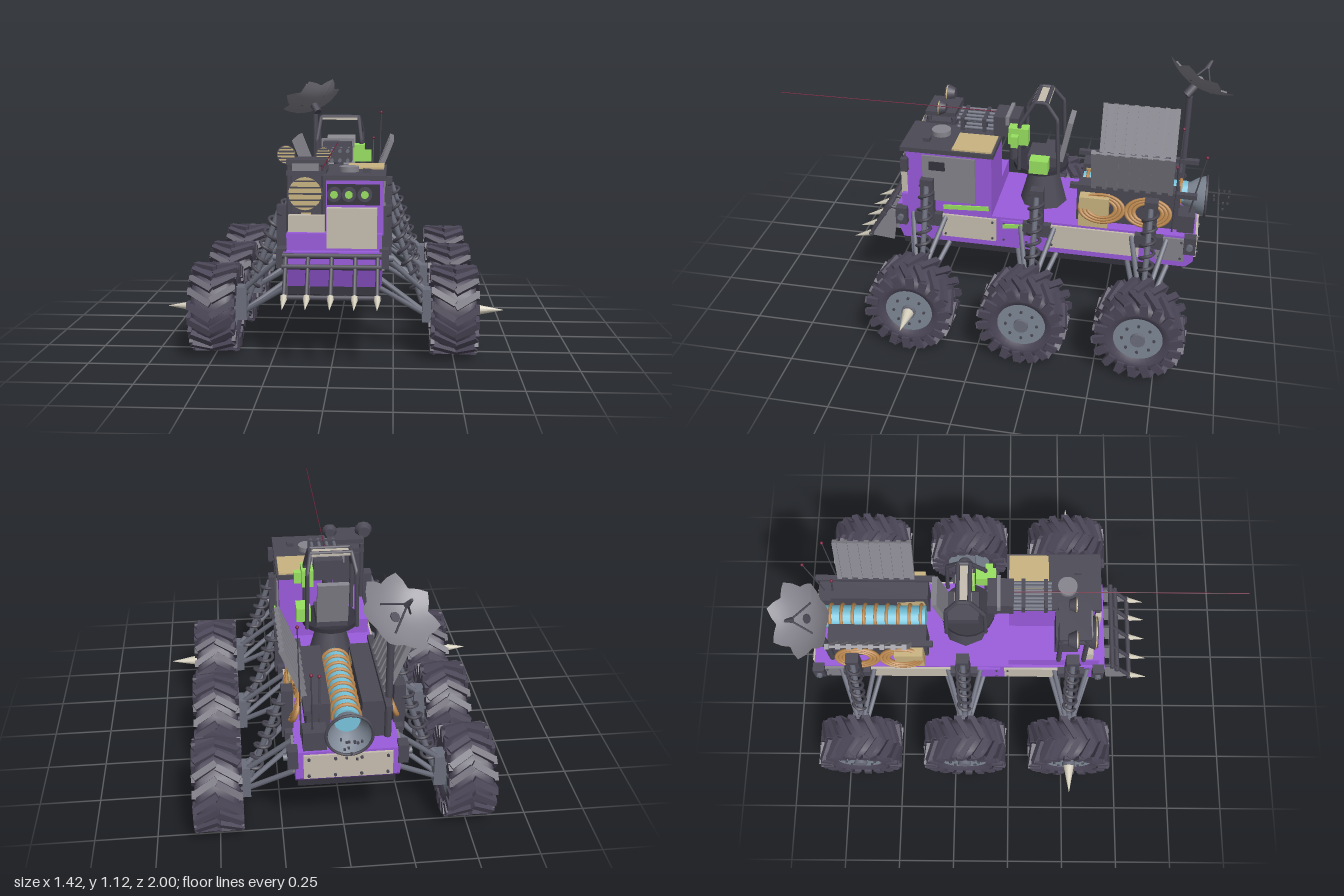
import * as THREE from 'three';
import { mergeGeometries } from 'three/addons/utils/BufferGeometryUtils.js';

const C = { purple: 0x9a5bdc, dark: 0x4b4955, black: 0x35333d, steel: 0x6b6e7c, grey: 0x85838c, beige: 0xc6bdb0,
  tan: 0xc9b380, green: 0x98e060, blue: 0x78c4dc, rope: 0xbe8a50, tyre: 0x4c4758, rim: 0x7f8996, bone: 0xd5cfbd, red: 0x7a2540 };
const mats = {};
const mat = (c, flat) => (mats[c + '_' + flat] ??= new THREE.MeshStandardMaterial({ color: c, flatShading: !!flat, side: THREE.DoubleSide }));
const V = (a) => new THREE.Vector3(...a);

function add(parent, name, geo, color, p = [0, 0, 0], r = [0, 0, 0], flat = false) {
  const m = new THREE.Mesh(geo, mat(color, flat));
  m.name = name;
  m.position.set(...p);
  m.rotation.set(...r);
  parent.add(m);
  return m;
}
// box given by its min/max ranges
const box = (g, name, c, [x0, x1], [y0, y1], [z0, z1], r) =>
  add(g, name, new THREE.BoxGeometry(x1 - x0, y1 - y0, z1 - z0), c, [(x0 + x1) / 2, (y0 + y1) / 2, (z0 + z1) / 2], r);
// straight rod (or cone) between two points
function rod(g, name, c, a, b, r, r2 = r, seg = 8) {
  const A = V(a), d = V(b).sub(A);
  const m = add(g, name, new THREE.CylinderGeometry(r2, r, d.length(), seg), c);
  m.position.copy(A).addScaledVector(d, 0.5);
  m.quaternion.setFromUnitVectors(new THREE.Vector3(0, 1, 0), d.normalize());
  return m;
}
// bent pipe through points
function pipe(g, name, c, pts, r) {
  const path = new THREE.CurvePath();
  for (let i = 1; i < pts.length; i++) path.add(new THREE.LineCurve3(V(pts[i - 1]), V(pts[i])));
  return add(g, name, new THREE.TubeGeometry(path, pts.length * 8, r, 7), c);
}
// side silhouette [z, y] extruded across x
function sideShape(g, name, c, pts, x0, x1) {
  const geo = new THREE.ExtrudeGeometry(new THREE.Shape(pts.map(([z, y]) => new THREE.Vector2(-z, y))), { depth: x1 - x0, bevelEnabled: false });
  return add(g, name, geo.rotateY(Math.PI / 2), c, [x0, 0, 0]);
}

function makeWheel(spiked) {
  const w = new THREE.Group();
  w.name = 'wheel';
  const prof = [[0.1, -0.075], [0.125, -0.09], [0.155, -0.085], [0.17, -0.06], [0.172, 0], [0.17, 0.06], [0.155, 0.085], [0.125, 0.09], [0.1, 0.075]];
  add(w, 'tyre', new THREE.LatheGeometry(prof.map((p) => new THREE.Vector2(...p)), 32), C.tyre, [0, 0, 0], [0, 0, -Math.PI / 2]);
  // chevron tread with shoulder blocks
  const lugs = [];
  for (let i = 0; i < 18; i++) for (const s of [-1, 1]) {
    const a = ((i + (s > 0 ? 0.25 : 0)) / 18) * Math.PI * 2;
    lugs.push(new THREE.BoxGeometry(0.105, 0.026, 0.026).rotateY(s * 0.55).translate(s * 0.045, 0.174, 0).rotateX(a));
    lugs.push(new THREE.BoxGeometry(0.016, 0.05, 0.032).translate(s * 0.09, 0.153, -0.028).rotateX(a));
  }
  add(w, 'tread', mergeGeometries(lugs), C.tyre);
  const hub = (r, len, c, name) => add(w, name, new THREE.CylinderGeometry(r, r, len, 24), c, [0, 0, 0], [0, 0, Math.PI / 2]);
  hub(0.105, 0.15, C.rim, 'rim');
  hub(0.03, 0.18, C.steel, 'hubCap');
  for (let i = 0; i < 8; i++) {
    const a = i * Math.PI / 4;
    rod(w, 'bolt', C.dark, [0.07, 0.065 * Math.cos(a), 0.065 * Math.sin(a)], [0.082, 0.065 * Math.cos(a), 0.065 * Math.sin(a)], 0.006);
  }
  if (spiked) rod(w, 'hubSpike', C.bone, [0.08, 0, 0], [0.21, 0, 0], 0.026, 0.001, 10);
  return w;
}

// one wheel with its arms, tower and coil, on the +x side
function makeCorner(z, spiked) {
  const g = new THREE.Group();
  g.name = 'wheelStation';
  g.position.z = z;
  const w = makeWheel(spiked);
  w.position.set(0.5, 0.189, 0);
  g.add(w);
  box(g, 'hubBracket', C.steel, [0.37, 0.42], [0.14, 0.28], [-0.035, 0.035]);
  for (const s of [-1, 1]) {
    rod(g, 'upperArm', C.steel, [0.2, 0.44, s * 0.075], [0.385, 0.265, s * 0.015], 0.011);
    rod(g, 'lowerArm', C.steel, [0.19, 0.3, s * 0.085], [0.385, 0.17, s * 0.015], 0.011);
  }
  box(g, 'springTower', C.dark, [0.195, 0.24], [0.42, 0.63], [-0.028, 0.028]);
  box(g, 'towerFoot', C.dark, [0.195, 0.23], [0.4, 0.46], [-0.06, 0.06]);
  const a = V([0.235, 0.6, 0]), d = V([0.36, 0.25, 0]).sub(a), u = V([0, 0, 1]), v = d.clone().normalize().cross(u);
  const pts = [];
  for (let i = 0; i <= 84; i++) {
    const t = i / 84, q = t * 7 * Math.PI * 2;
    pts.push(a.clone().addScaledVector(d, t).addScaledVector(u, 0.028 * Math.cos(q)).addScaledVector(v, 0.028 * Math.sin(q)));
  }
  add(g, 'coilSpring', new THREE.TubeGeometry(new THREE.CatmullRomCurve3(pts), 150, 0.0075, 5), C.dark);
  rod(g, 'damper', C.steel, a.toArray(), [0.37, 0.22, 0], 0.012);
  return g;
}

function makeLamp(g, x, y, z, r) {
  rod(g, 'lampShell', C.dark, [x, y, z - r * 0.9], [x, y, z], r * 0.7, r * 1.1, 20);
  rod(g, 'lampGlass', C.tan, [x, y, z - 0.002], [x, y, z + 0.006], r, r, 20);
  for (let i = -2; i <= 2; i++) {
    const h = r * Math.sqrt(1 - (i * 0.38) ** 2);
    box(g, 'lampGrille', C.dark, [x - h, x + h], [y + i * r * 0.38 - 0.003, y + i * r * 0.38 + 0.003], [z + 0.005, z + 0.012]);
  }
}

function makeHull(g) {
  sideShape(g, 'hull', C.purple, [[0.4, 0.31], [0.43, 0.39], [0.43, 0.46], [-0.87, 0.46], [-0.87, 0.34], [-0.84, 0.31]], -0.2, 0.2);
  box(g, 'underPlate', C.black, [-0.19, 0.19], [0.275, 0.315], [-0.83, 0.4]);
  box(g, 'hood', C.purple, [-0.19, 0.2], [0.45, 0.53], [0, 0.4]);
  for (const s of [-1, 1]) {
    for (const [z0, z1, c] of [[-0.02, 0.22, C.beige], [-0.17, -0.04, C.purple], [-0.64, -0.25, C.beige], [-0.83, -0.71, C.grey]]) {
      const p = box(g, 'sidePlate', c, [-0.006, 0.006], [0.34, 0.45], [z0, z1]);
      p.position.x = s * 0.204;
      for (const z of [z0 + 0.015, z1 - 0.015]) for (const y of [0.355, 0.435]) rod(g, 'rivet', C.dark, [s * 0.205, y, z], [s * 0.215, y, z], 0.005);
    }
    for (const z of [0.4, -0.85]) {
      const e = new THREE.Group();
      e.position.x = s * 0.21;
      g.add(e);
      box(e, 'cornerFitting', C.dark, [-0.02, 0.02], [0.39, 0.47], [z - 0.025, z + 0.025]);
      rod(e, 'cornerPeg', C.steel, [0, 0.43, z], [s * 0.035, 0.43, z], 0.014);
    }
  }
  box(g, 'rearPlate', C.beige, [-0.17, 0.17], [0.345, 0.45], [-0.88, -0.868]);
  for (const x of [-0.15, -0.05, 0.05, 0.15]) for (const y of [0.36, 0.435]) rod(g, 'rivet', C.dark, [x, y, -0.875], [x, y, -0.887], 0.006);
  // paint slashes
  add(g, 'paintSlash', new THREE.BoxGeometry(0.006, 0.02, 0.2), C.green, [0.217, 0.5, 0.11], [0.06, 0, 0]);
  add(g, 'paintSlash', new THREE.BoxGeometry(0.006, 0.018, 0.12), C.green, [0.213, 0.43, -0.11], [0.1, 0, 0]);
}

function makeRam(g) {
  for (const x of [-0.185, -0.095, 0, 0.095, 0.185]) {
    sideShape(g, 'ramFin', C.grey, [[0.43, 0.42], [0.47, 0.45], [0.555, 0.29], [0.45, 0.28]], x - 0.004, x + 0.004);
    rod(g, 'ramBar', C.dark, [x, 0.45, 0.465], [x, 0.295, 0.56], 0.009);
    rod(g, 'ramStrut', C.dark, [x, 0.44, 0.41], [x, 0.45, 0.47], 0.008);
    rod(g, 'ramSpike', C.bone, [x, 0.3, 0.555], [x, 0.272, 0.635], 0.016, 0.001);
  }
  for (const [y, z] of [[0.45, 0.465], [0.41, 0.49], [0.3, 0.555]]) rod(g, 'ramCrossbar', C.dark, [-0.2, y, z], [0.2, y, z], 0.011);
}

function makeCab(g) {
  box(g, 'cabBody', C.purple, [-0.03, 0.205], [0.52, 0.75], [0, 0.37]);
  box(g, 'cabRoof', C.dark, [-0.04, 0.215], [0.748, 0.768], [-0.01, 0.395]);
  box(g, 'roofPatch', C.tan, [0.05, 0.205], [0.765, 0.775], [0, 0.17]);
  box(g, 'cabDoor', C.grey, [0.2, 0.213], [0.52, 0.735], [0.07, 0.3]);
  box(g, 'doorWindow', C.black, [0.205, 0.218], [0.67, 0.71], [0.2, 0.27]);
  box(g, 'mirror', C.dark, [0.21, 0.235], [0.66, 0.72], [0.36, 0.39]);
  box(g, 'frontPlate', C.beige, [-0.025, 0.18], [0.47, 0.635], [0.365, 0.405]);
  box(g, 'visor', C.black, [-0.025, 0.19], [0.645, 0.73], [0.36, 0.376]);
  for (const x of [0.005, 0.065, 0.13]) {
    rod(g, 'eyeHousing', C.dark, [x, 0.69, 0.37], [x, 0.69, 0.395], 0.03, 0.03, 14);
    rod(g, 'eyeLight', C.green, [x, 0.69, 0.39], [x, 0.69, 0.4], 0.016, 0.016, 12);
  }
  rod(g, 'roofHatch', C.grey, [0.06, 0.765, 0.25], [0.06, 0.79, 0.25], 0.042, 0.042, 18);
  box(g, 'roofBox', C.dark, [0.12, 0.15], [0.765, 0.785], [0.28, 0.31]);
  // headlamp rack beside the cab
  box(g, 'lampPlate', C.beige, [-0.185, -0.035], [0.53, 0.6], [0.34, 0.37]);
  box(g, 'lampDrum', C.dark, [-0.175, -0.04], [0.6, 0.76], [0.2, 0.3]);
  makeLamp(g, -0.115, 0.69, 0.37, 0.068);
  for (const x of [-0.185, -0.04]) for (const z of [0.22, 0.33]) rod(g, 'rackPost', C.dark, [x, 0.52, z], [x, 0.8, z], 0.011);
  for (const y of [0.77, 0.815]) box(g, 'rackBar', C.dark, [-0.195, -0.03], [y - 0.01, y + 0.01], [0.21, 0.345]);
  box(g, 'rackLight', C.grey, [-0.17, -0.06], [0.78, 0.81], [0.34, 0.352]);
  makeLamp(g, -0.2, 0.84, 0.28, 0.036);
  makeLamp(g, -0.045, 0.84, 0.28, 0.03);
}

function makeGunner(g) {
  rod(g, 'pedestal', C.dark, [0, 0.455, -0.195], [0, 0.64, -0.195], 0.105, 0.055, 8);
  rod(g, 'platform', C.black, [0, 0.635, -0.18], [0, 0.655, -0.18], 0.12, 0.12, 20);
  box(g, 'seat', C.dark, [-0.065, 0.065], [0.655, 0.7], [-0.27, -0.13]);
  add(g, 'seatBack', new THREE.BoxGeometry(0.13, 0.19, 0.022), C.grey, [0, 0.78, -0.292], [-0.2, 0, 0]);
  for (const s of [-1, 1]) pipe(g, 'rollBar', C.dark, [[s * 0.105, 0.65, -0.27], [s * 0.1, 0.9, -0.26], [s * 0.085, 0.965, -0.21], [s * 0.085, 0.965, -0.16], [s * 0.1, 0.86, -0.1], [s * 0.1, 0.65, -0.1]], 0.009);
  for (const z of [-0.16, -0.21]) rod(g, 'rollCrossbar', C.dark, [-0.085, 0.965, z], [0.085, 0.965, z], 0.009);
  box(g, 'canopy', C.beige, [-0.08, 0.08], [0.955, 0.965], [-0.22, -0.15]);
  // four-barrelled gun with its ammunition
  box(g, 'gunBody', C.dark, [-0.065, 0.06], [0.78, 0.87], [-0.09, 0.02]);
  rod(g, 'gunPost', C.dark, [0, 0.65, -0.06], [0, 0.79, -0.06], 0.022);
  box(g, 'gunShield', C.grey, [-0.075, 0.07], [0.84, 0.88], [-0.05, -0.035]);
  for (const x of [-0.05, -0.017, 0.017, 0.05]) for (const y of [0.805, 0.845]) rod(g, 'gunBarrel', C.steel, [x, y, 0], [x, y, 0.18], 0.008);
  for (const z of [0.06, 0.155]) box(g, 'barrelClamp', C.dark, [-0.065, 0.065], [0.795, 0.855], [z - 0.008, z + 0.008]);
  rod(g, 'laserBeam', C.red, [0, 0.868, 0], [0, 0.868, 1], 0.002, 0.002, 5);
  box(g, 'ammoBox', C.green, [0.065, 0.115], [0.775, 0.85], [-0.14, -0.055]);
  box(g, 'ammoBox', C.green, [0.085, 0.145], [0.66, 0.72], [-0.23, -0.15]);
  box(g, 'ammoFeed', C.green, [0.11, 0.145], [0.775, 0.825], [-0.1, -0.07]);
}

function makeCargo(g) {
  // glowing engine tube, hoops and rear bell
  rod(g, 'engineTube', C.blue, [0, 0.56, -0.37], [0, 0.56, -0.82], 0.05, 0.05, 18);
  for (let i = 0; i < 9; i++) add(g, 'engineHoop', new THREE.TorusGeometry(0.053, 0.008, 6, 20), C.rope, [0, 0.56, -0.39 - i * 0.05]);
  const bell = [[0.045, 0], [0.055, 0.03], [0.075, 0.06], [0.09, 0.1]].map((p) => new THREE.Vector2(...p));
  add(g, 'exhaustBell', new THREE.LatheGeometry(bell, 24), C.rim, [0, 0.55, -0.8], [-Math.PI / 2, 0, 0]);
  add(g, 'bellRim', new THREE.TorusGeometry(0.088, 0.006, 6, 24), C.dark, [0, 0.55, -0.9]);
  for (let i = 0; i < 12; i++) {
    const a = i * 2.4, r = 0.015 + 0.003 * i;
    add(g, 'spark', new THREE.BoxGeometry(0.008, 0.008, 0.008), C.dark, [r * Math.cos(a), 0.545 + r * Math.sin(a), -0.935 - 0.02 * (i % 4)]);
  }
  for (const s of [-1, 1]) {
    const side = new THREE.Group();
    side.name = 'cargoSide';
    g.add(side);
    const span = (a, b) => (s > 0 ? [a, b] : [-b, -a]);
    box(side, 'cargoBin', C.dark, span(0.06, 0.15), [0.455, 0.62], [-0.79, -0.36]);
    box(side, 'cargoCrate', C.tan, span(0.06, 0.2), [0.46, 0.6], [-0.5, -0.375]);
    box(side, 'cargoRail', C.dark, span(0.14, 0.165), [0.62, 0.64], [-0.86, -0.33]);
    // leaning rope coils
    for (const z of [-0.47, -0.665]) for (let k = 0; k < 3; k++)
      add(side, 'ropeCoil', new THREE.TorusGeometry(0.092 - k * 0.016, 0.0095, 6, 28).rotateY(Math.PI / 2).scale(1, 0.65, 1), C.rope, [s * 0.19, 0.55, z], [0, 0, s * 0.35]);
    // corrugated panel leaning outward
    const panel = new THREE.Group();
    panel.name = 'ribbedPanel';
    panel.position.set(s * 0.195, 0.735, -0.59);
    panel.rotation.z = -s * 0.38;
    side.add(panel);
    box(panel, 'panelSheet', C.grey, [-0.005, 0.005], [-0.11, 0.11], [-0.17, 0.17]);
    for (let i = 0; i < 8; i++) box(panel, 'panelRib', C.grey, [-0.011, 0.011], [-0.113, 0.113], [-0.17 + i * 0.0457, -0.15 + i * 0.0457]);
  }
  box(g, 'radioBox', C.dark, [0.08, 0.17], [0.46, 0.54], [-0.86, -0.79]);
  for (const [a, b, r] of [[[0.17, 0.46, -0.77], [0.18, 0.95, -0.78], 0.004], [[0.13, 0.46, -0.82], [0.14, 0.81, -0.885], 0.004], [[0.1, 0.46, -0.8], [0.1, 0.73, -0.77], 0.006]]) {
    rod(g, 'antenna', C.dark, a, b, r, r * 0.6, 6);
    add(g, 'antennaTip', new THREE.SphereGeometry(0.007, 8, 6), C.red, b);
  }
}

function makeDish(g) {
  rod(g, 'mast', C.dark, [-0.16, 0.45, -0.79], [-0.16, 0.94, -0.79], 0.014);
  rod(g, 'mastJoint', C.dark, [-0.145, 0.95, -0.775], [-0.17, 0.99, -0.81], 0.02);
  const dish = new THREE.Group();
  dish.name = 'dish';
  dish.position.set(-0.165, 0.985, -0.81);
  dish.quaternion.setFromUnitVectors(V([0, 0, 1]), V([-0.38, 0.8, -0.46]).normalize());
  g.add(dish);
  // bowl with a jagged, seven-pointed rim
  const geo = new THREE.RingGeometry(0.001, 0.16, 28, 5), p = geo.attributes.position;
  for (let i = 0; i < p.count; i++) {
    const x = p.getX(i), y = p.getY(i), r = Math.hypot(x, y) / 0.16;
    const k = 1 - 0.2 * r * r * (0.5 - 0.5 * Math.cos(7 * Math.atan2(y, x)));
    p.setXYZ(i, x * k, y * k, 0.055 * (r * k) ** 2);
  }
  geo.computeVertexNormals();
  add(dish, 'dishBowl', geo, C.grey);
  for (let i = 0; i < 3; i++) rod(dish, 'feedStrut', C.dark, [0.07 * Math.cos(i * 2.09), 0.07 * Math.sin(i * 2.09), 0.01], [0, 0, 0.1], 0.004);
  rod(dish, 'feedHorn', C.dark, [0, 0, 0.09], [0, 0, 0.13], 0.012, 0.006);
}

export function createModel() {
  const g = new THREE.Group();
  g.name = 'sixWheeledRover';
  [makeHull, makeRam, makeCab, makeGunner, makeCargo, makeDish].forEach((f) => f(g));
  // three axles, turned half round for the other side
  [0.278, -0.2, -0.678].forEach((z, i) => {
    const left = makeCorner(z, i === 0), right = makeCorner(z, i === 0);
    right.scale.x = -1;
    g.add(left, right);
  });
  return g;
}
